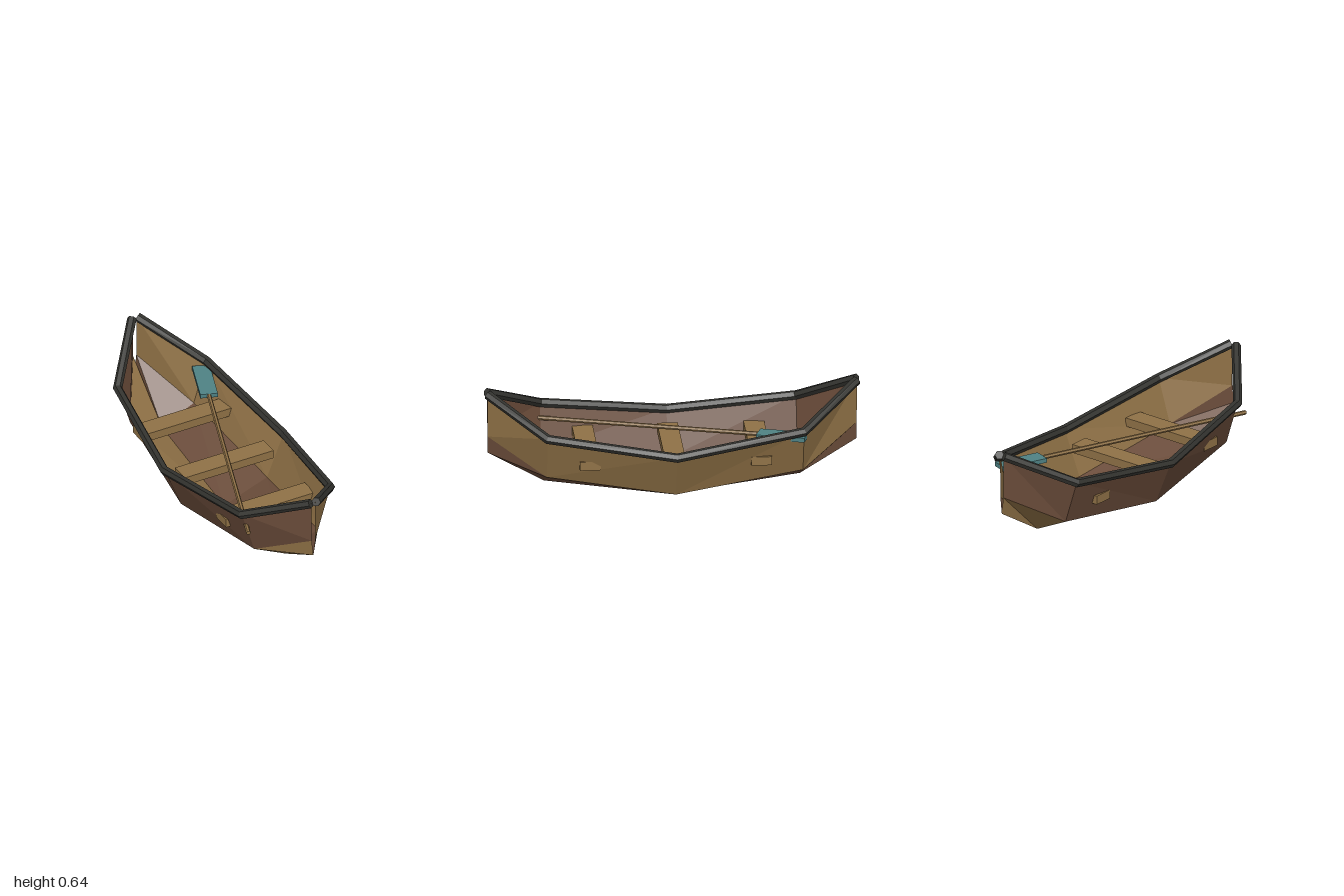
import * as THREE from 'three';

const paint = (color, extra = {}) => new THREE.MeshStandardMaterial({ color, flatShading: true, ...extra });
const tan = paint(0x8f7146);
const tanHull = paint(0x8f7146, { side: THREE.DoubleSide });
const brownHull = paint(0x694b39, { side: THREE.DoubleSide });
const dark = paint(0x33332f);
const teal = paint(0x4f8284);

// Hull stations, bow to stern: z, keel y, chine x/y, gunwale x/y
const stations = [
  { z: 0.98, keel: 0.265, chine: [0.01, 0.36], gunwale: [0.011, 0.6] },
  { z: 0.68, keel: 0.097, chine: [0.192, 0.19], gunwale: [0.268, 0.435] },
  { z: 0, keel: 0, chine: [0.26, 0.097], gunwale: [0.36, 0.343] },
  { z: -0.68, keel: 0.097, chine: [0.192, 0.19], gunwale: [0.268, 0.435] },
  { z: -0.98, keel: 0.285, chine: [0.01, 0.38], gunwale: [0.011, 0.62] },
];

function fromTriangles(points) {
  const geo = new THREE.BufferGeometry().setFromPoints(points);
  geo.computeVertexNormals();
  return geo;
}

function add(parent, name, geo, material) {
  const mesh = new THREE.Mesh(geo, material);
  mesh.name = name;
  parent.add(mesh);
  return mesh;
}

// Strip of planking between a lower and an upper line, outward on the given side
function strake(lower, upper, side) {
  const pts = [];
  for (let i = 0; i < lower.length - 1; i++) {
    const [a, b, c, d] = [lower[i], lower[i + 1], upper[i + 1], upper[i]];
    pts.push(...(side > 0 ? [a, b, c, a, c, d] : [a, c, b, a, d, c]));
  }
  return fromTriangles(pts);
}

// Six-sided rail with mitred corners and closed ends
function railGeometry(path, radius) {
  const up = new THREE.Vector3(0, 1, 0);
  const rings = path.map((p, i) => {
    const t = new THREE.Vector3();
    if (i > 0) t.add(p.clone().sub(path[i - 1]).normalize());
    if (i < path.length - 1) t.add(path[i + 1].clone().sub(p).normalize());
    t.normalize();
    const s = t.clone().cross(up).normalize();
    const n = s.clone().cross(t);
    return Array.from({ length: 6 }, (_, j) => p.clone()
      .addScaledVector(s, radius * Math.cos(j * Math.PI / 3))
      .addScaledVector(n, radius * Math.sin(j * Math.PI / 3)));
  });
  const pts = [];
  const last = rings.length - 1;
  for (let j = 0; j < 6; j++) {
    const k = (j + 1) % 6;
    for (let i = 0; i < last; i++) {
      const [r, q] = [rings[i], rings[i + 1]];
      pts.push(r[j], q[j], q[k], r[j], q[k], r[k]);
    }
    pts.push(path[0], rings[0][j], rings[0][k]);
    pts.push(path[last], rings[last][k], rings[last][j]);
  }
  return fromTriangles(pts);
}

export function createModel() {
  const boat = new THREE.Group();
  boat.name = 'rowingBoat';

  // Planking and rail on each side; the two timbers swap between sides
  for (const side of [1, -1]) {
    const name = side > 0 ? 'left' : 'right';
    const line = (key) => stations.map((s) => new THREE.Vector3(side * s[key][0], s[key][1], s.z));
    const keel = stations.map((s) => new THREE.Vector3(0, s.keel, s.z));
    const chine = line('chine');
    const gunwale = line('gunwale');
    add(boat, name + 'BottomPlank', strake(keel, chine, side), side > 0 ? brownHull : tanHull);
    add(boat, name + 'SidePlank', strake(chine, gunwale, side), side > 0 ? tanHull : brownHull);

    const railPath = gunwale.map((p) => p.clone());
    for (const end of [0, railPath.length - 1]) railPath[end].x = side * 0.016;
    add(boat, name + 'Rail', railGeometry(railPath, 0.025), dark);
  }

  // Three bench seats
  for (const z of [0.455, 0.003, -0.455]) {
    add(boat, 'seat', new THREE.BoxGeometry(0.535, 0.048, 0.11), tan).position.set(0, 0.275, z);
  }

  // Oar laid diagonally across the boat, its local z running from grip to blade
  const grip = new THREE.Vector3(-0.265, 0.357, 0.75);
  const tip = new THREE.Vector3(0.243, 0.393, -0.695);
  const length = grip.distanceTo(tip);
  const bladeLength = 0.265;
  const oar = new THREE.Group();
  oar.name = 'oar';
  oar.position.copy(grip);
  oar.lookAt(tip);
  const shaftLength = length - bladeLength + 0.02;
  const shaft = new THREE.CylinderGeometry(0.012, 0.012, shaftLength, 6).rotateY(Math.PI / 6).rotateX(Math.PI / 2);
  add(oar, 'oarShaft', shaft, tan).position.z = shaftLength / 2;
  add(oar, 'oarBlade', new THREE.BoxGeometry(0.094, 0.024, bladeLength), teal).position.z = length - bladeLength / 2;
  boat.add(oar);

  return boat;
}
